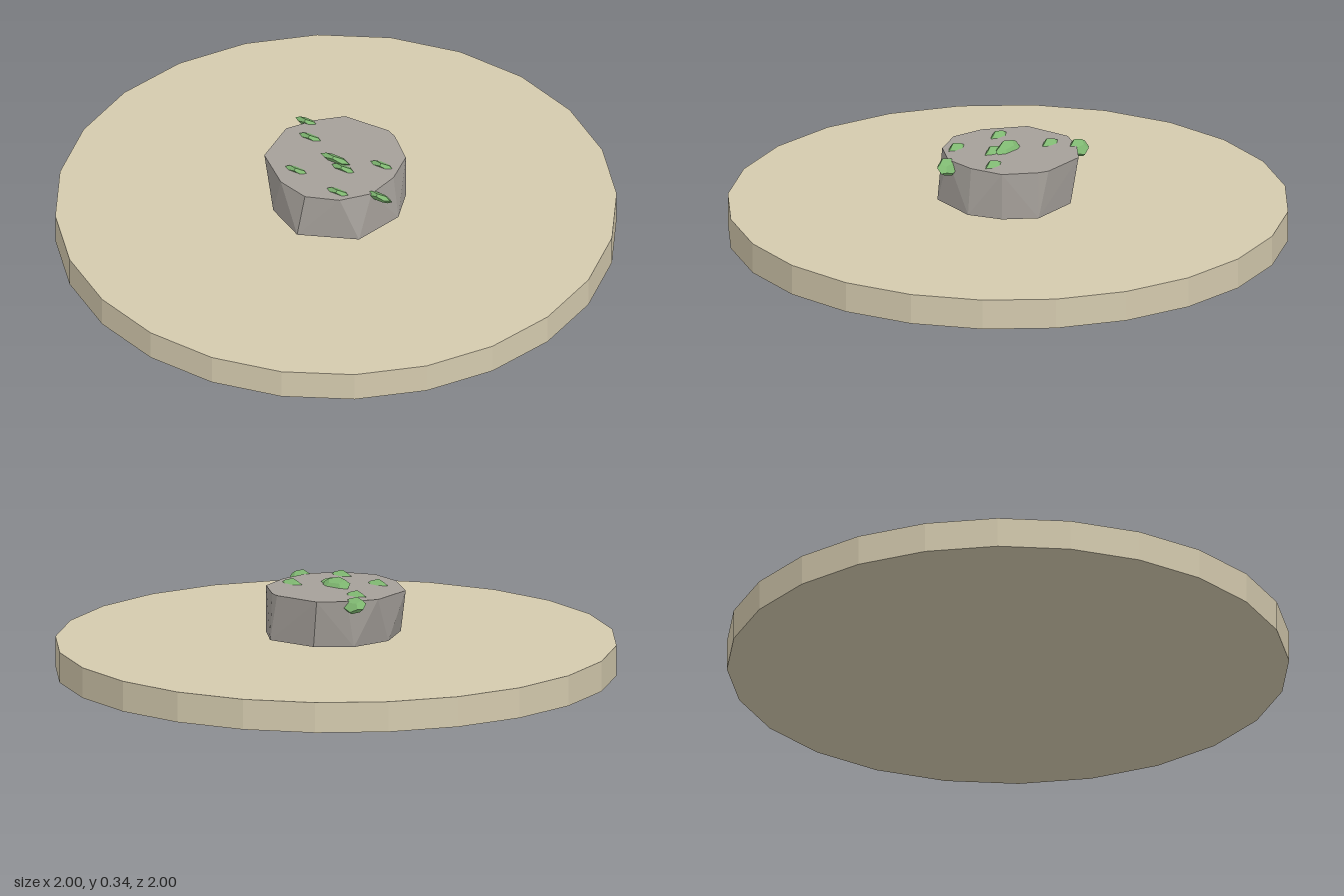
import * as THREE from 'three';
import { ConvexGeometry } from 'three/addons/geometries/ConvexGeometry.js';

const mat = (name, color) => {
  const m = new THREE.MeshStandardMaterial({ color, flatShading: true });
  m.name = name;
  return m;
};

export function createModel() {
  const sand = mat('sand', 0xd4caae);
  const stone = mat('stone', 0xa5a09a);
  const moss = mat('moss', 0x7fb871);
  const model = new THREE.Group();
  const add = (name, geometry, material) => {
    const mesh = new THREE.Mesh(geometry, material);
    mesh.name = name;
    model.add(mesh);
    return mesh;
  };

  // Flat round base
  add('base', new THREE.CylinderGeometry(1, 1, 0.11, 24), sand).position.y = 0.055;

  // Chipped boulder: hull of two irregular rings [x, z]
  const top = [
    [-0.085, -0.247], [0.09, -0.24], [0.125, -0.22], [0.215, -0.125],
    [0.228, 0.0], [0.2, 0.12], [0.115, 0.205], [-0.005, 0.24],
    [-0.12, 0.2], [-0.242, 0.085], [-0.242, -0.09], [-0.17, -0.18],
  ];
  const bottom = [
    [0.247, 0], [0.18, 0.18], [-0.03, 0.252], [-0.17, 0.16],
    [-0.225, 0], [-0.18, -0.15], [-0.06, -0.23], [0.13, -0.225], [0.215, -0.125],
  ];
  const ring = (points, y) => points.map(([x, z]) => new THREE.Vector3(x, y, z));
  add('boulder', new ConvexGeometry([...ring(top, 0.308), ...ring(bottom, 0.138)]), stone);

  // Moss tufts leaning back, half sunk in the boulder [x, y, z]
  const tufts = [
    [-0.195, 0.295, -0.17], [-0.14, 0.297, -0.09], [0.16, 0.297, -0.055],
    [0, 0.312, 0], [0.045, 0.3, 0.025], [-0.1, 0.297, 0.105],
    [0.09, 0.297, 0.155], [0.225, 0.291, 0.105],
  ];
  const tuftGeometry = new THREE.DodecahedronGeometry(1, 0);
  tufts.forEach(([x, y, z], i) => {
    const tuft = add('mossTuft' + (i + 1), tuftGeometry, moss);
    tuft.position.set(x, y, z);
    const s = i === 3 ? 1.25 : 1;
    tuft.scale.set(0.05 * s, 0.015, 0.036);
    tuft.rotation.set(-0.8, 0, -0.08);
  });

  return model;
}
